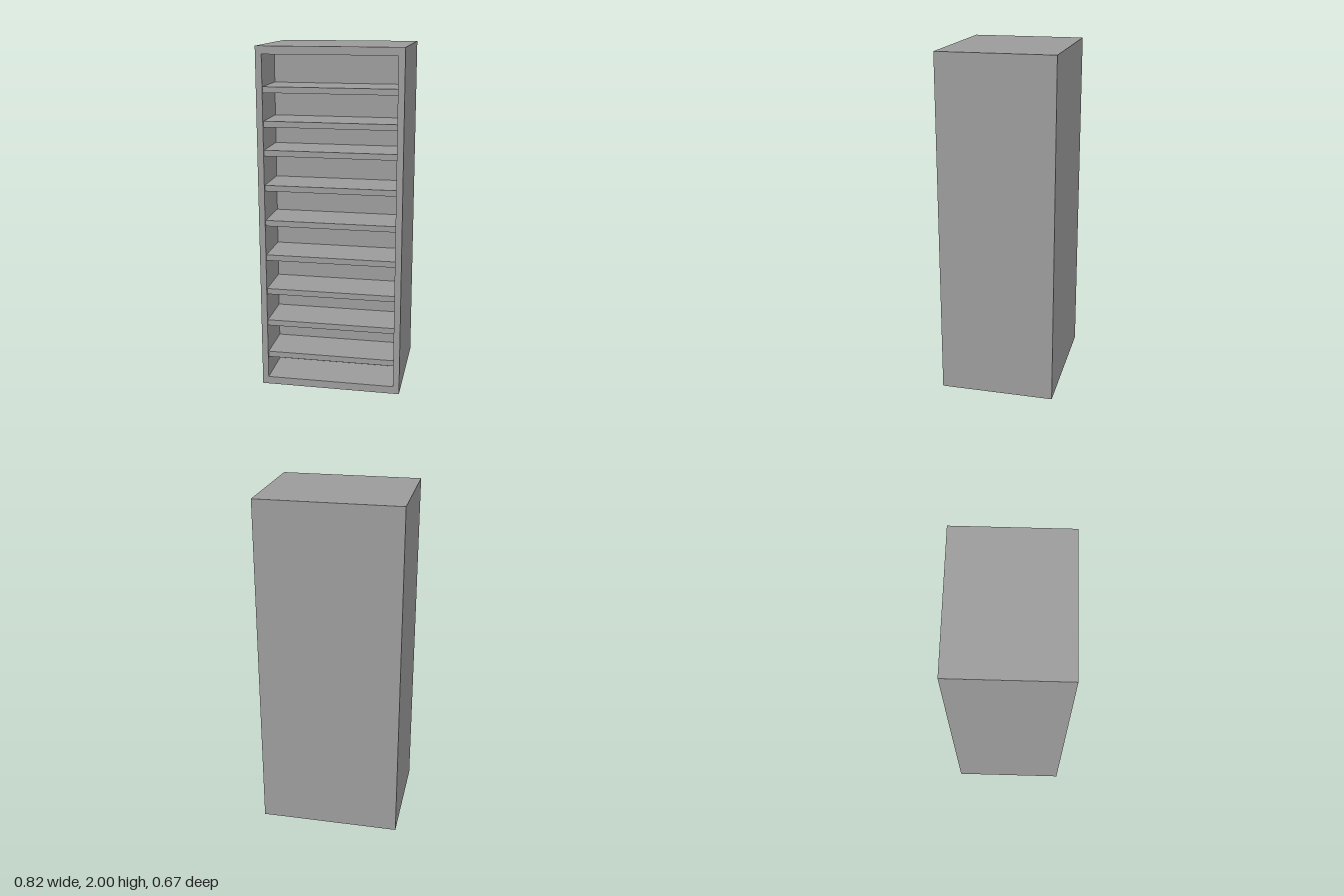
import * as THREE from 'three';

const W = 0.823, H = 2, D = 0.667;                       // outer casing
const L = -0.376, R = 0.375, B = 0.045, T = 1.955;       // front opening
const FRONT = D / 2, BACK = 0.057;                       // recess depth range

export function createModel() {
  const group = new THREE.Group();
  group.name = 'shelfCabinet';
  const material = new THREE.MeshStandardMaterial({ color: 0x9d9d9d, side: THREE.DoubleSide });

  const add = (name, geometry, x, y, z, parent = group) => {
    const mesh = new THREE.Mesh(geometry, material);
    mesh.name = name;
    mesh.position.set(x, y, z);
    parent.add(mesh);
    return mesh;
  };
  // Thin sheet facing along z, turned by rx / ry
  const panel = (name, w, h, x, y, z, rx = 0, ry = 0) =>
    add(name, new THREE.PlaneGeometry(w, h), x, y, z).rotation.set(rx, ry, 0);

  const q = Math.PI / 2;

  // Outer casing, hollow and open underneath
  panel('casingBack', W, H, 0, H / 2, -D / 2, 0, Math.PI);
  panel('casingLeft', D, H, W / 2, H / 2, 0, 0, q);
  panel('casingRight', D, H, -W / 2, H / 2, 0, 0, -q);
  panel('casingTop', W, D, 0, H, 0, -q);

  // Front frame around the opening
  const frame = new THREE.Shape([[-W / 2, 0], [W / 2, 0], [W / 2, H], [-W / 2, H]]
    .map(p => new THREE.Vector2(...p)));
  frame.holes.push(new THREE.Path([[L, B], [L, T], [R, T], [R, B]]
    .map(p => new THREE.Vector2(...p))));
  add('frontFrame', new THREE.ShapeGeometry(frame), 0, 0, FRONT);

  // Lining of the shelf recess
  const cx = (L + R) / 2, cy = (B + T) / 2, cz = (FRONT + BACK) / 2;
  const w = R - L, h = T - B, d = FRONT - BACK;
  panel('recessBack', w, h, cx, cy, BACK);
  panel('recessLeft', d, h, R, cy, cz, 0, -q);
  panel('recessRight', d, h, L, cy, cz, 0, q);
  panel('recessFloor', w, d, cx, B, cz, -q);
  panel('recessCeiling', w, d, cx, T, cz, q);

  // Shelves, set slightly behind the frame
  const shelves = new THREE.Group();
  shelves.name = 'shelves';
  group.add(shelves);
  const thickness = 0.034, depth = d - 0.012;
  [0.204, 0.405, 0.601, 0.808, 1.015, 1.221, 1.423, 1.587, 1.778].forEach(top =>
    add('shelf', new THREE.BoxGeometry(w, thickness, depth),
      cx, top - thickness / 2, BACK + depth / 2, shelves));

  return group;
}
